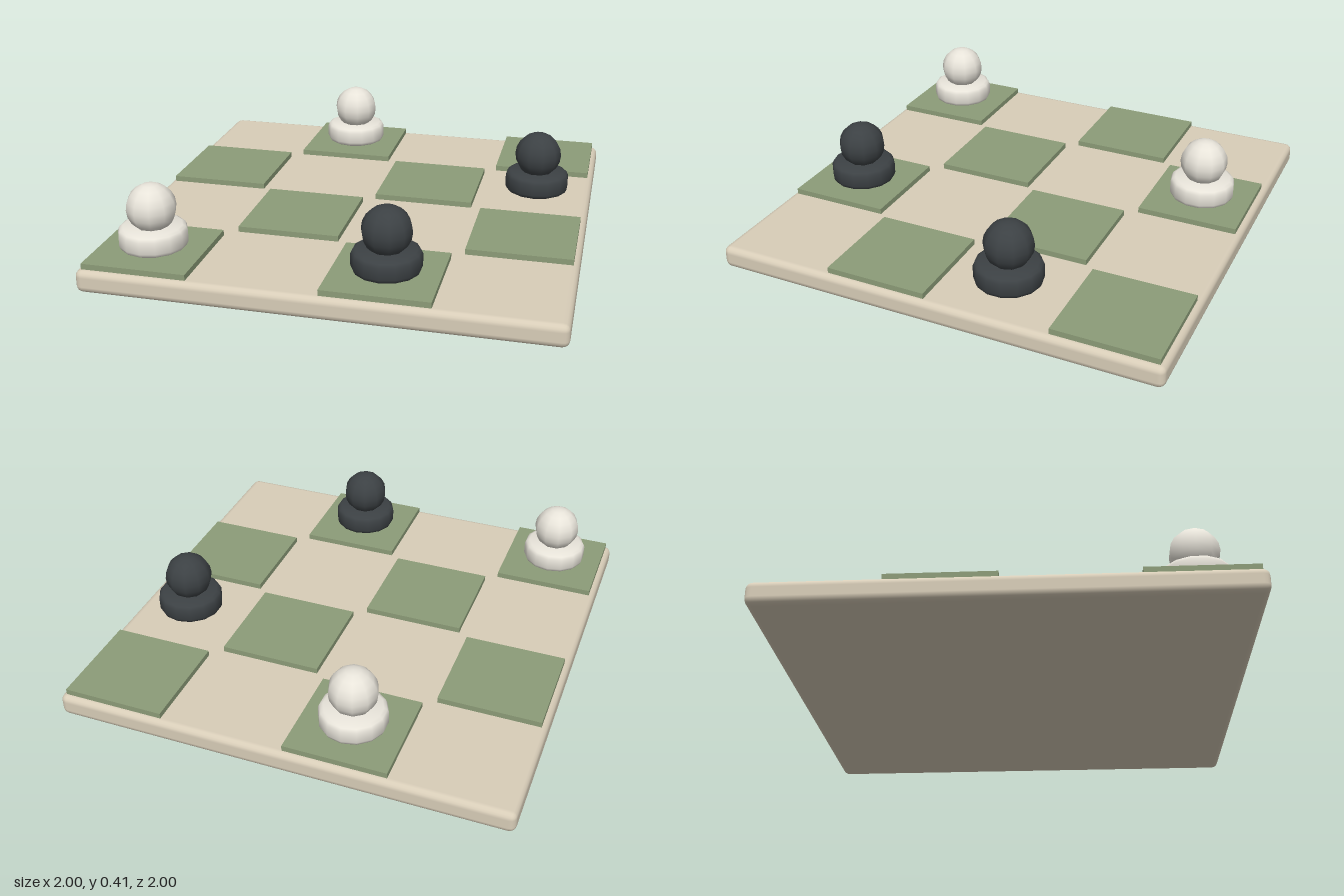
import * as THREE from 'three';
import { RoundedBoxGeometry } from 'three/addons/geometries/RoundedBoxGeometry.js';
import { toCreasedNormals } from 'three/addons/utils/BufferGeometryUtils.js';

const paint = (color) => new THREE.MeshStandardMaterial({ color });

function part(name, geometry, material, x, y, z) {
  const mesh = new THREE.Mesh(geometry, material);
  mesh.name = name;
  mesh.position.set(x, y, z);
  return mesh;
}

export function createModel() {
  const model = new THREE.Group();
  model.name = 'gameBoard';
  const cream = paint(0xd8cdb8);
  const green = paint(0x8c9c78);
  const ivory = paint(0xe8e4da);
  const charcoal = paint(0x3c4144);

  // board slab with softened edges
  model.add(part('board', new RoundedBoxGeometry(2, 0.1, 2, 2, 0.03), cream, 0, 0.05, 0));

  // raised squares on alternate cells of a 4 x 4 grid
  const tileGeometry = new THREE.BoxGeometry(0.45, 0.025, 0.45);
  for (let row = 0; row < 4; row++) {
    for (let col = 0; col < 4; col++) {
      if ((row + col) % 2 === 0) continue;
      model.add(part('tile', tileGeometry, green, col * 0.5 - 0.75, 0.1125, row * 0.5 - 0.75));
    }
  }

  // playing pieces: a round-edged foot with a ball on top
  const profile = [
    [0, 0], [0.125, 0], [0.139, 0.007], [0.146, 0.022], [0.146, 0.073],
    [0.139, 0.088], [0.125, 0.095], [0, 0.095],
  ].map(([r, y]) => new THREE.Vector2(r, y));
  const footGeometry = toCreasedNormals(new THREE.LatheGeometry(profile, 14), 0.9);
  const ballGeometry = new THREE.SphereGeometry(0.106, 10, 10);

  const pieces = [
    ['lightPiece', ivory, -0.25, -0.75],
    ['lightPiece', ivory, -0.75, 0.75],
    ['darkPiece', charcoal, 0.25, 0.75],
    ['darkPiece', charcoal, 0.75, -0.25],
  ];
  for (const [name, material, x, z] of pieces) {
    const piece = new THREE.Group();
    piece.name = name;
    piece.position.set(x, 0.13, z);
    piece.add(part('foot', footGeometry, material, 0, 0, 0));
    piece.add(part('ball', ballGeometry, material, 0, 0.174, 0));
    model.add(piece);
  }
  return model;
}
